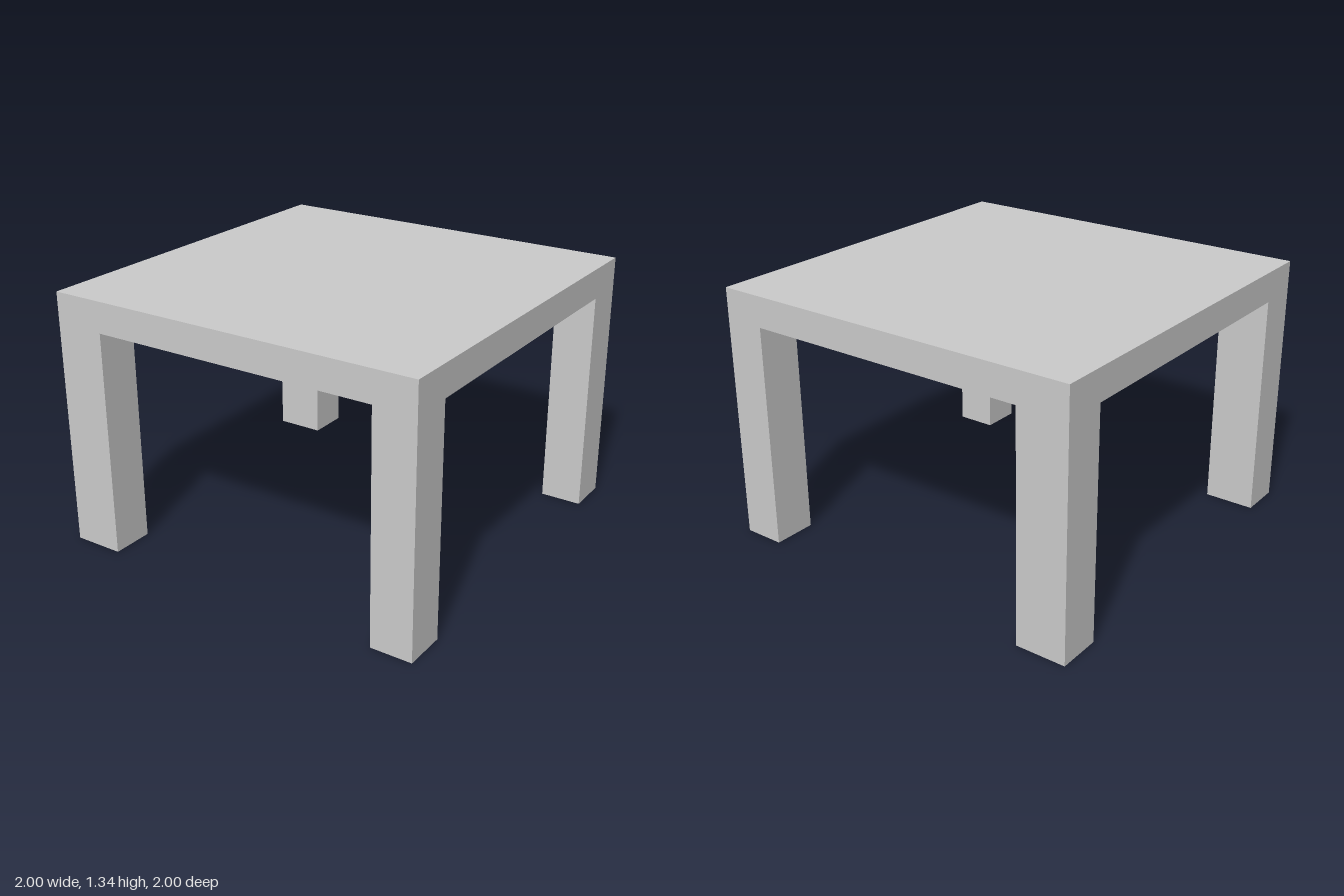
import * as THREE from 'three';

const HEIGHT = 1.337;
const UNDERSIDE = 1.177;

export function createModel() {
  const table = new THREE.Group();
  table.name = 'table';
  const material = new THREE.MeshStandardMaterial({ color: 0xcccccc, flatShading: true });

  // Box given by its [min, max] range on each axis
  const addBox = (name, [x0, x1], [y0, y1], [z0, z1]) => {
    const mesh = new THREE.Mesh(new THREE.BoxGeometry(x1 - x0, y1 - y0, z1 - z0), material);
    mesh.position.set((x0 + x1) / 2, (y0 + y1) / 2, (z0 + z1) / 2);
    mesh.name = name;
    table.add(mesh);
  };

  // Square slab top
  addBox('tableTop', [-1, 1], [UNDERSIDE, HEIGHT], [-1, 1]);

  // Four corner legs, flush with the slab; the right pair is wider
  const sides = { Left: [0.782, 1], Right: [-1, -0.735] };
  const ends = { front: [0.778, 1], back: [-1, -0.772] };
  for (const [end, z] of Object.entries(ends)) {
    for (const [side, x] of Object.entries(sides)) {
      addBox(`${end}${side}Leg`, x, [0, UNDERSIDE], z);
    }
  }

  return table;
}
